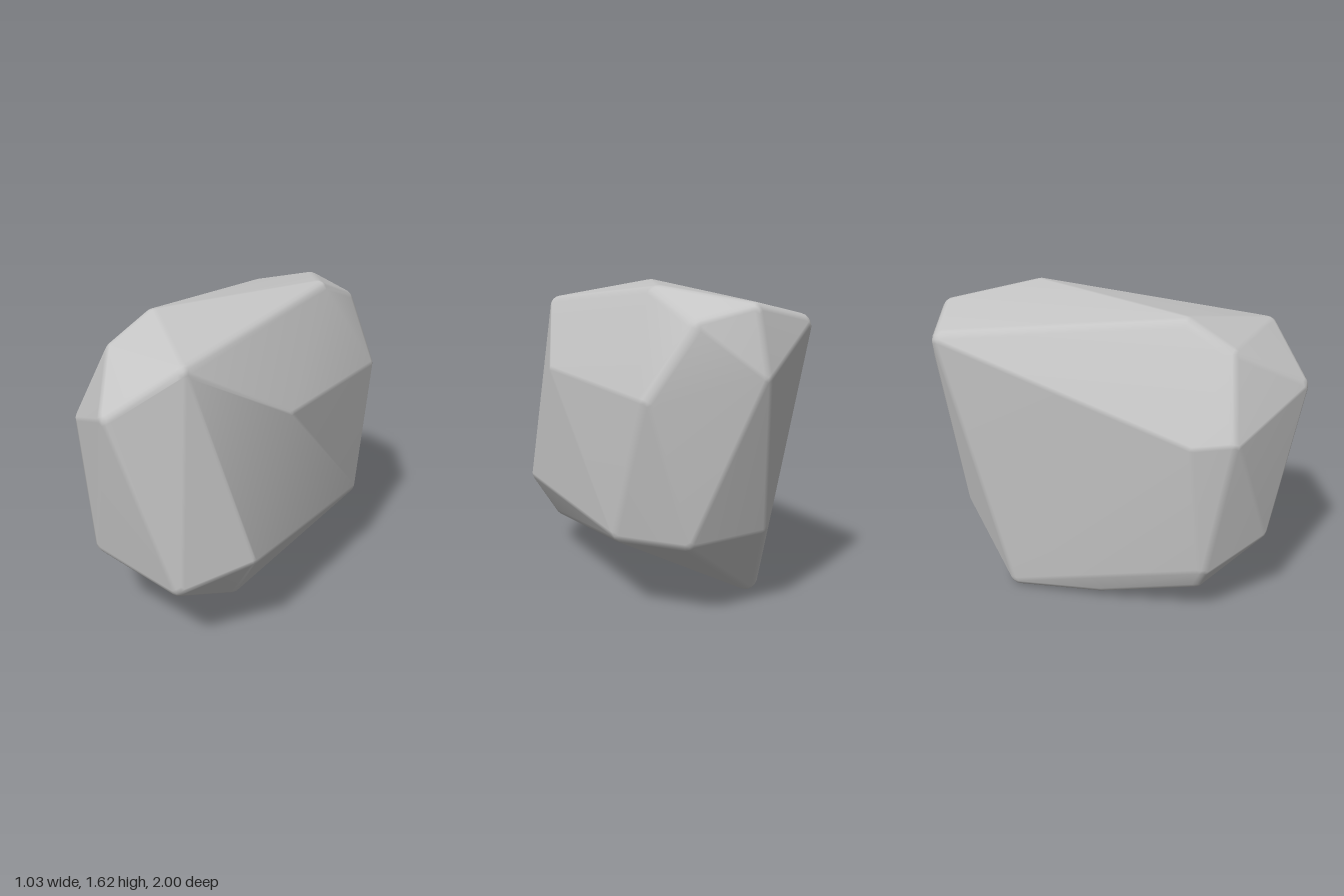
import * as THREE from 'three';
import { mergeVertices } from 'three/addons/utils/BufferGeometryUtils.js';
import { ConvexGeometry } from 'three/addons/geometries/ConvexGeometry.js';

// Corners of the boulder before its edges are worn round
const CORNERS = [
  // crown
  [-0.2, 1.6, 0.44], [0.26, 1.62, -0.51], [0.25, 1.48, 0.81], [-0.26, 1.47, 0.68],
  // front nose and left shoulder
  [-0.03, 1.26, 1.01], [-0.52, 1.06, 0.55], [-0.46, 1.08, 0.73],
  // back shoulder
  [-0.35, 1.47, -0.86], [-0.02, 1.54, -0.93], [0.24, 1.48, -0.87], [-0.03, 1.25, -1.01],
  // flat flank on +x
  [0.51, 1.18, 0.27], [0.45, 1.14, -0.78], [0.515, 0.42, -0.54], [0.515, 0.46, 0.6],
  // lower front
  [-0.23, 0.46, 0.87], [0.25, 0.36, 0.87], [0.36, 0.24, 0.56],
  // underside and lower back
  [-0.42, 0.29, 0.6], [-0.38, 0.19, 0.56], [-0.33, 0.03, 0.0],
  [-0.31, 0.0, -0.51], [-0.17, 0.43, -0.81], [0.25, 0.42, -0.81],
];
const ROUND = 0.065;
const MIN = new THREE.Vector3(-0.515, 0, -1).addScalar(ROUND);
const MAX = new THREE.Vector3(0.515, 1.62, 1).subScalar(ROUND);

// Hull of small balls set inside every corner, which rounds all the edges
function roundedHull(corners) {
  const ball = new THREE.IcosahedronGeometry(ROUND, 2);
  ball.deleteAttribute('normal');
  ball.deleteAttribute('uv');
  const pos = mergeVertices(ball).getAttribute('position');
  const middle = new THREE.Vector3(0, 0.85, 0);
  const points = [];
  for (const c of corners) {
    const centre = new THREE.Vector3(...c);
    const inward = middle.clone().sub(centre).setLength(ROUND * 1.2);
    centre.add(inward).clamp(MIN, MAX);
    for (let i = 0; i < pos.count; i++) {
      points.push(new THREE.Vector3().fromBufferAttribute(pos, i).add(centre));
    }
  }
  const hull = new ConvexGeometry(points);
  hull.deleteAttribute('normal');
  const smooth = mergeVertices(hull, 1e-4);
  smooth.computeVertexNormals();
  return smooth;
}

export function createModel() {
  const stone = new THREE.MeshStandardMaterial({ color: 0xc5c5c5 });
  stone.name = 'grey stone';

  const boulder = new THREE.Mesh(roundedHull(CORNERS), stone);
  boulder.name = 'boulder';

  const model = new THREE.Group();
  model.name = 'rock';
  model.add(boulder);
  return model;
}
